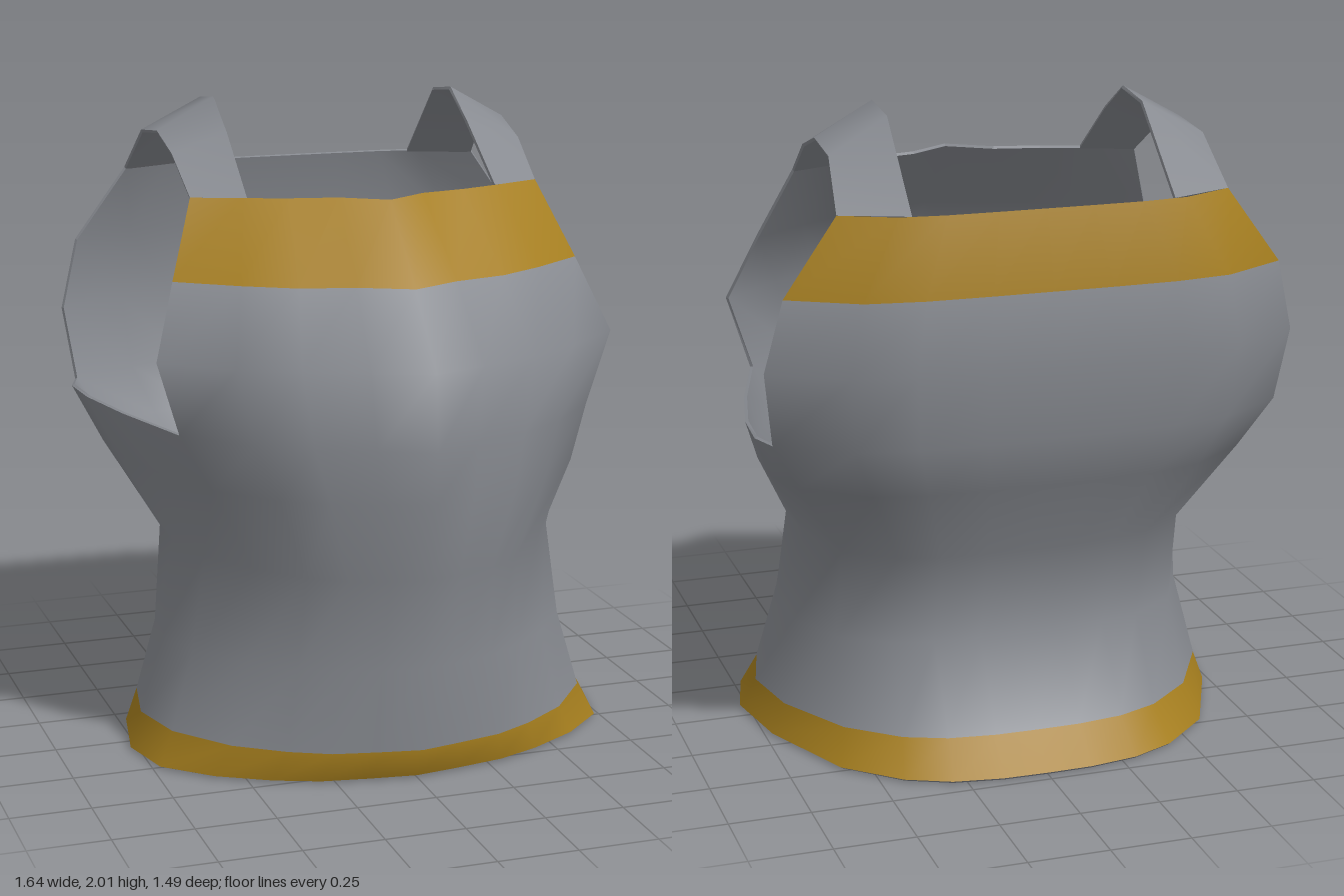
import * as THREE from 'three';

const steel = new THREE.MeshStandardMaterial({ color: 0x878a90 });
steel.name = 'steel';
const gold = new THREE.MeshStandardMaterial({ color: 0xa57e1e });
gold.name = 'gold';
const THICKNESS = 0.01;

// Horizontal sections of the body, bottom to top:
// y, front centre z, falls (how far the front has curved back at each inner station),
// front edge x/z, side x/z, back edge x/z, back centre z
const SECTIONS = [
  [0.00, 0.58, [0.10, 0.24, 0.52], 0.59, 0.39, 0.775, 0.07, 0.59, -0.49, -0.72],
  [0.10, 0.63, [0.11, 0.25, 0.53], 0.54, 0.41, 0.73, 0.03, 0.56, -0.42, -0.62],
  [0.35, 0.61, [0.09, 0.23, 0.51], 0.485, 0.38, 0.66, 0.05, 0.55, -0.30, -0.45],
  [0.65, 0.67, [0.09, 0.23, 0.51], 0.46, 0.39, 0.615, 0.03, 0.545, -0.365, -0.52],
  [0.90, 0.73, [0.13, 0.27, 0.52], 0.58, 0.37, 0.745, -0.14, 0.70, -0.47, -0.66],
  [1.06, 0.745, [0.18, 0.33, 0.55], 0.66, 0.30, 0.81, -0.27, 0.79, -0.53, -0.715],
  [1.29, 0.725, [0.16, 0.34, 0.585], 0.73, 0.315, 0.78, -0.13, 0.82, -0.57, -0.745],
  [1.51, 0.55, [0.23, 0.36, 0.62], 0.65, 0.21, 0.71, -0.19, 0.765, -0.59, -0.735],
  [1.74, 0.32, [0.39, 0.53, 0.73], 0.56, 0.09, 0.58, -0.24, 0.60, -0.575, -0.67],
];
const PANEL = [0, 0.24, 0.5, 0.73, 1]; // stations across each half panel
const ARMHOLE_ROW = 5;

// Closed ring of 24 points: front panel, side, back panel, then the mirrored half
function ring([y, zf, falls, xf, zfe, xw, zw, xb, zbe, zb]) {
  const half = [0, ...falls, 1].map((fall, i) => [xf * PANEL[i], zf + (zfe - zf) * fall]);
  for (const t of [0.25, 0.5, 0.75]) {
    const a = (1 - t) * (1 - 2 * t), b = 4 * t * (1 - t), c = t * (2 * t - 1);
    half.push([a * xf + b * xw + c * xb, a * zfe + b * zw + c * zbe]);
  }
  // The back grows flatter, with tighter corners, towards the shoulders
  for (const t of [...PANEL].reverse()) {
    half.push([xb * t, zb + (zbe - zb) * t ** (3.1 + 1.3 * y)]);
  }
  const other = half.slice(1, -1).reverse().map(([x, z]) => [-x, z]);
  return [...half, ...other].map(([x, z]) => new THREE.Vector3(x, y, z));
}

// Turns a grid of points into a sheet with an outer face, a plain inner face and a rim
function shell(name, rows, { closed = false, skip = () => false, trim = () => false } = {}) {
  const n = rows[0].length;
  const points = rows.flat();
  const plain = [], trimmed = [];
  for (let r = 0; r < rows.length - 1; r++) {
    for (let i = 0; i < (closed ? n : n - 1); i++) {
      if (skip(r, i)) continue;
      const j = (i + 1) % n;
      const a = r * n + i, b = r * n + j, c = b + n, d = a + n;
      (trim(r) ? trimmed : plain).push(a, b, c, a, c, d);
    }
  }
  const all = [...plain, ...trimmed];

  // Outer face
  const outer = new THREE.BufferGeometry().setFromPoints(points);
  outer.setIndex(all);
  outer.addGroup(0, plain.length, 0);
  outer.addGroup(plain.length, trimmed.length, 1);
  outer.computeVertexNormals();

  // Inner face, moved inward along the normals
  const normals = outer.attributes.normal;
  const inside = points.map((p, i) =>
    p.clone().addScaledVector(new THREE.Vector3().fromBufferAttribute(normals, i), -THICKNESS));
  const inner = new THREE.BufferGeometry().setFromPoints(inside);
  inner.setIndex([...all].reverse());
  inner.computeVertexNormals();

  // Rim along every open edge
  const edges = new Map();
  for (let k = 0; k < all.length; k += 3) {
    for (let e = 0; e < 3; e++) {
      const a = all[k + e], b = all[k + (e + 1) % 3];
      edges.set(`${a},${b}`, [a, b]);
    }
  }
  const rimPoints = [];
  for (const [a, b] of edges.values()) {
    if (edges.has(`${b},${a}`)) continue;
    rimPoints.push(points[b], points[a], inside[a], points[b], inside[a], inside[b]);
  }
  const rim = new THREE.BufferGeometry().setFromPoints(rimPoints);
  rim.computeVertexNormals();

  const group = new THREE.Group();
  group.name = name;
  const parts = [['Outside', outer, [steel, gold]], ['Lining', inner, steel], ['Rim', rim, steel]];
  for (const [label, geometry, material] of parts) {
    const mesh = new THREE.Mesh(geometry, material);
    mesh.name = name + label;
    group.add(mesh);
  }
  return group;
}

// Shoulder strap edges, front to back
const STRAP_INNER = [[0.4, 1.74, 0.155], [0.395, 1.91, -0.08], [0.395, 2, -0.23],
  [0.395, 1.98, -0.39], [0.4, 1.74, -0.655]];
const STRAP_OUTER = [[0.56, 1.74, 0.09], [0.57, 1.85, -0.08], [0.575, 1.9, -0.24],
  [0.58, 1.88, -0.42], [0.6, 1.74, -0.575]];

function strap(name, side) {
  const rows = [STRAP_OUTER, STRAP_INNER].map(edge =>
    edge.map(([x, y, z]) => new THREE.Vector3(x * side, y, z)));
  if (side < 0) rows.reverse();
  return shell(name, rows);
}

export function createModel() {
  const model = new THREE.Group();
  model.name = 'breastplate';

  // Body with armholes at both sides, gold hem and gold collar band
  const top = SECTIONS.length - 2;
  model.add(shell('body', SECTIONS.map(ring), {
    closed: true,
    skip: (r, i) => r >= ARMHOLE_ROW && ((i >= 4 && i < 8) || (i >= 16 && i < 20)),
    trim: r => r === 0 || r === top,
  }));

  // Shoulder straps
  model.add(strap('leftStrap', 1), strap('rightStrap', -1));
  return model;
}
